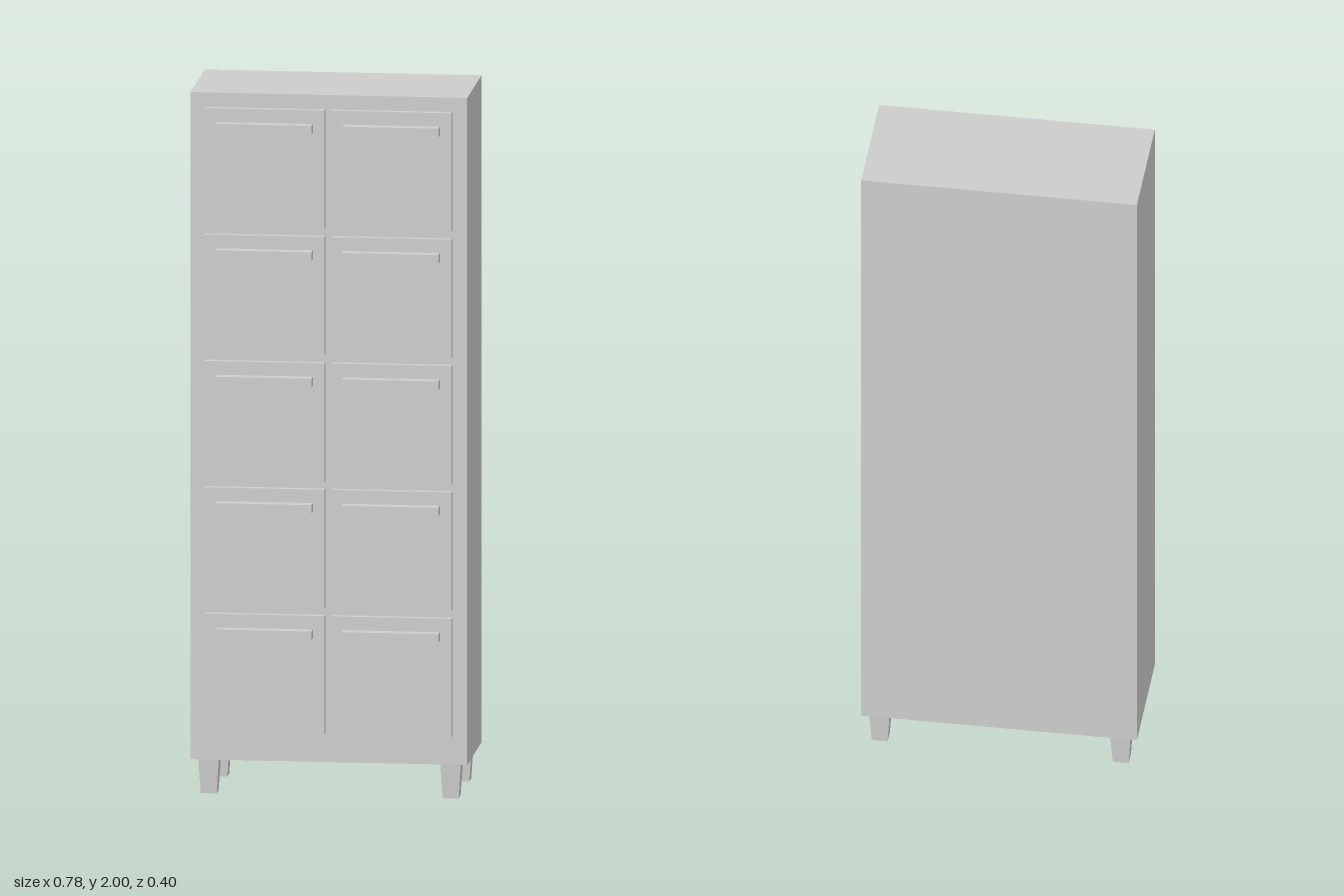
import * as THREE from 'three';

export function createModel() {
  const model = new THREE.Group();
  model.name = 'drawerCabinet';
  const material = new THREE.MeshStandardMaterial({ color: 0xcccccc, flatShading: true });

  const add = (name, geometry, x, y, z) => {
    const mesh = new THREE.Mesh(geometry, material);
    mesh.name = name;
    mesh.position.set(x, y, z);
    model.add(mesh);
  };

  // Cabinet body
  const backZ = -0.2, frontZ = 0.147, midZ = (backZ + frontZ) / 2;
  add('body', new THREE.BoxGeometry(0.78, 1.9, frontZ - backZ), 0, 1.05, midZ);

  // Two columns of five drawer fronts, each with a bar handle
  const drawerDepth = 0.02, handleDepth = 0.033;
  const drawer = new THREE.BoxGeometry(0.338, 0.338, drawerDepth);
  const handle = new THREE.BoxGeometry(0.272, 0.025, handleDepth);
  for (const side of [-1, 1]) {
    const x = side * 0.179;
    for (let row = 0; row < 5; row++) {
      const y = 0.35 + row * 0.36;
      add('drawerFront', drawer, x, y, frontZ + drawerDepth / 2);
      add('drawerHandle', handle, x, y + 0.118, frontZ + drawerDepth + handleDepth / 2);
    }
  }

  // Four square legs tapering towards the floor
  const leg = new THREE.CylinderGeometry(0.029 * Math.SQRT2, 0.0225 * Math.SQRT2, 0.1, 4);
  leg.rotateY(Math.PI / 4);
  for (const sx of [-1, 1]) {
    for (const sz of [-1, 1]) {
      add(sz > 0 ? 'frontLeg' : 'backLeg', leg, sx * 0.341, 0.05, midZ + sz * 0.13);
    }
  }

  return model;
}
